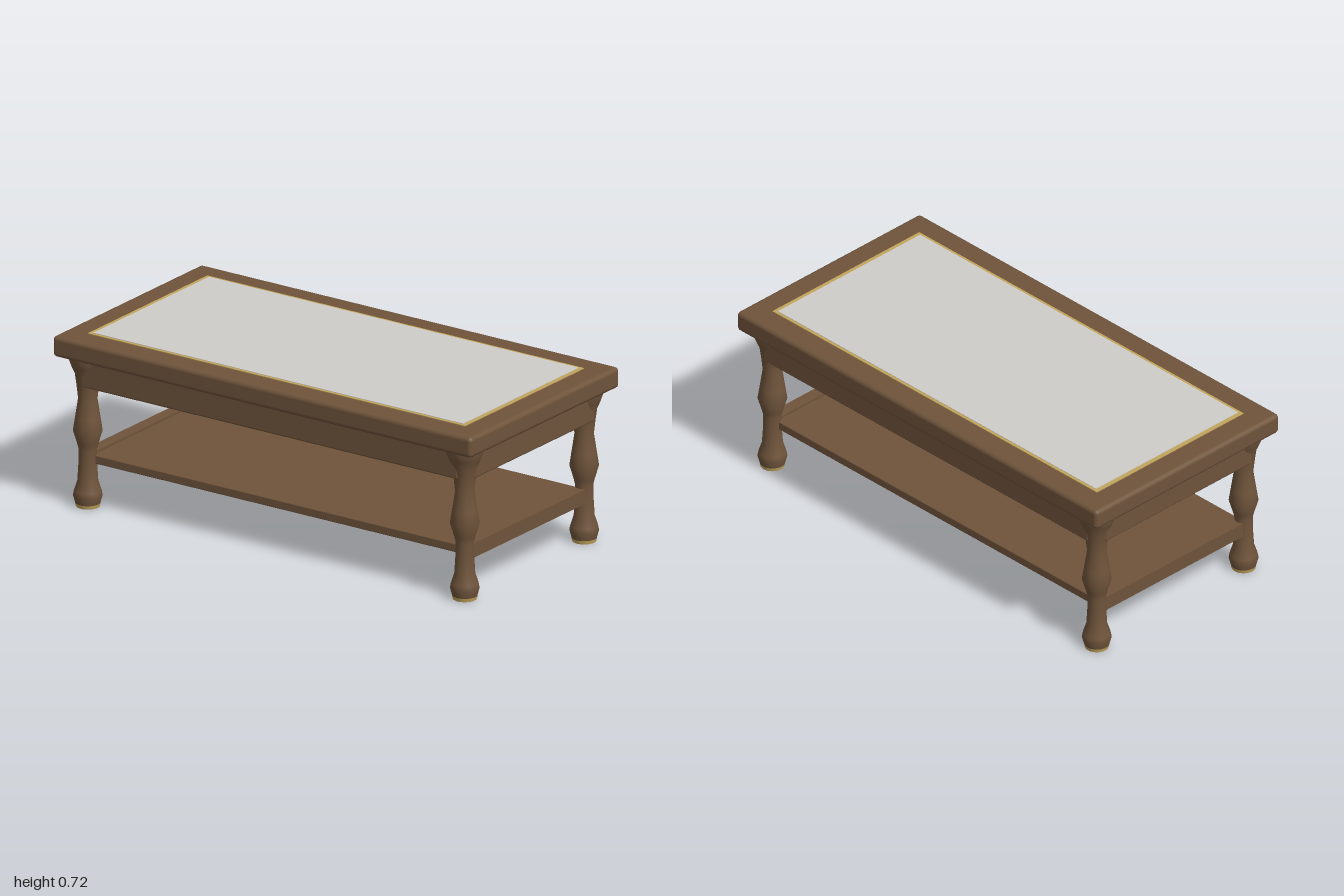
import * as THREE from 'three';
import { RoundedBoxGeometry } from 'three/addons/geometries/RoundedBoxGeometry.js';

const material = (name, color) => {
  const m = new THREE.MeshStandardMaterial({ color });
  m.name = name;
  return m;
};

export function createModel() {
  const wood = material('brown wood', 0x6f543b);
  const gold = material('gold trim', 0xc2a55c);
  const glass = material('pale glass', 0xcfcdc8);

  const table = new THREE.Group();
  table.name = 'coffeeTable';

  const add = (name, geometry, mat, x, y, z) => {
    const mesh = new THREE.Mesh(geometry, mat);
    mesh.name = name;
    mesh.position.set(x, y, z);
    table.add(mesh);
    return mesh;
  };
  const box = (name, w, y0, y1, d, mat, x = 0, z = 0, r = 0) => add(
    name,
    r ? new RoundedBoxGeometry(w, y1 - y0, d, 3, r) : new THREE.BoxGeometry(w, y1 - y0, d),
    mat, x, (y0 + y1) / 2, z);

  // Top slab with a gold-rimmed glass inlay
  box('tableTop', 2, 0.625, 0.711, 1, wood, 0, 0, 0.018);
  box('inlayRim', 1.8, 0.7, 0.714, 0.8, gold);
  box('glassInlay', 1.765, 0.708, 0.716, 0.775, glass);

  // Lower shelf
  box('shelf', 1.8, 0.18, 0.215, 0.8, wood, 0, 0, 0.004);

  // Aprons under the top, and end stretchers carrying the shelf
  for (const s of [-1, 1]) {
    box('longApron', 1.8, 0.505, 0.635, 0.1, wood, 0, s * 0.4, 0.008);
    box('endApron', 0.1, 0.505, 0.635, 0.8, wood, s * 0.9, 0, 0.008);
    box('endStretcher', 0.05, 0.165, 0.225, 0.8, wood, s * 0.9, 0);
  }

  // Turned legs: [radius, height] from floor to top
  const profile = [
    [0, 0], [0.046, 0], [0.05, 0.016], [0.058, 0.045], [0.054, 0.065], [0.041, 0.105],
    [0.037, 0.17], [0.036, 0.235], [0.042, 0.26], [0.058, 0.313], [0.05, 0.365],
    [0.038, 0.445], [0.044, 0.5], [0.051, 0.55], [0.064, 0.58], [0.073, 0.605], [0.075, 0.63],
  ].map(([r, y]) => new THREE.Vector2(r, y));
  const legGeometry = new THREE.LatheGeometry(profile, 32);
  const bandGeometry = new THREE.CylinderGeometry(0.0505, 0.047, 0.015, 32, 1, true);

  for (const x of [-0.9, 0.9]) {
    for (const z of [-0.4, 0.4]) {
      add('leg', legGeometry, wood, x, 0, z);
      add('footBand', bandGeometry, gold, x, 0.0075, z);
    }
  }
  return table;
}
